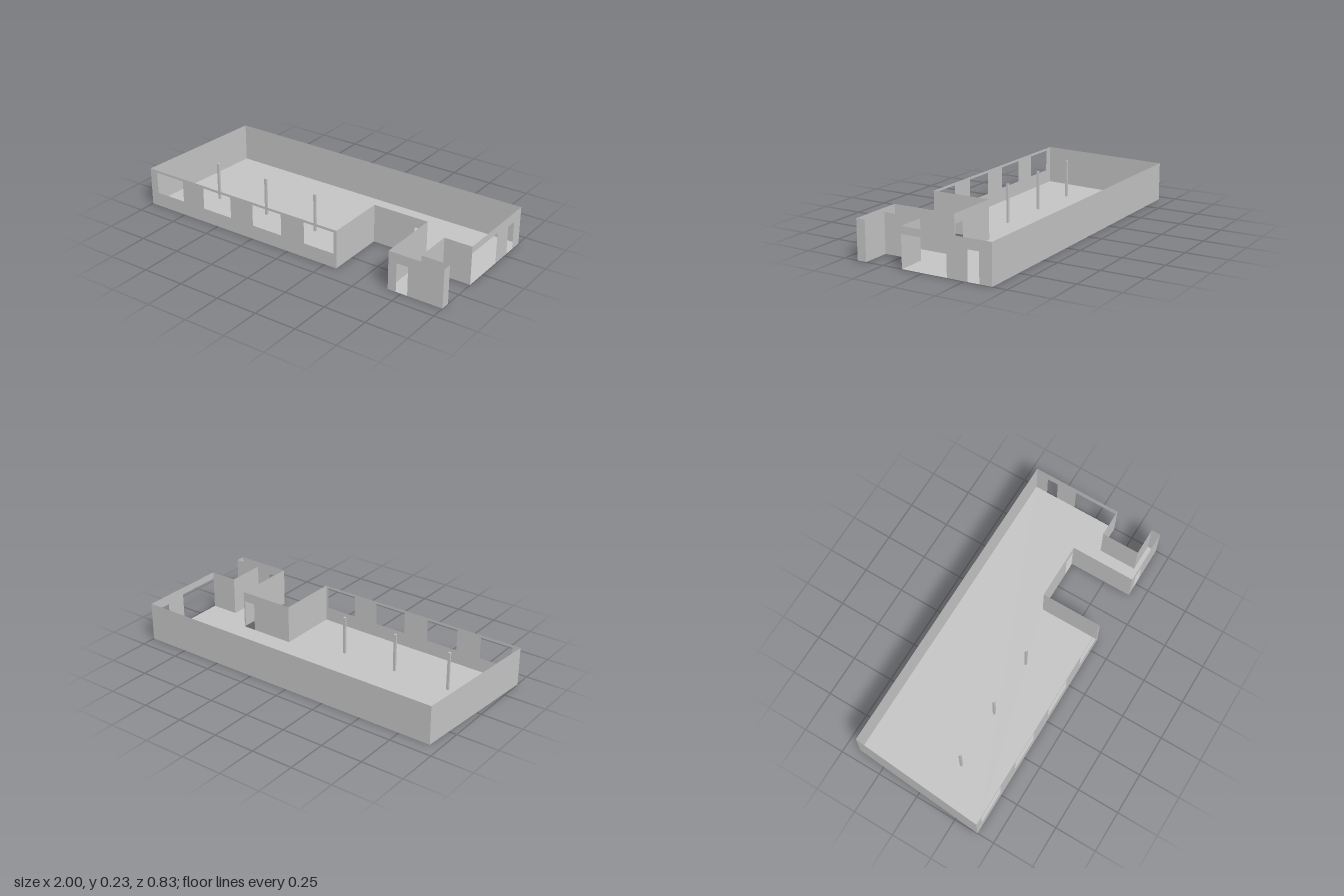
import * as THREE from 'three';
import { mergeGeometries } from 'three/addons/utils/BufferGeometryUtils.js';

const HEIGHT = 0.23;

// Upright panel in the XY plane, from (s0, y0) to (s1, y1)
function panel(s0, s1, y0, y1) {
  return new THREE.PlaneGeometry(s1 - s0, y1 - y0).translate((s0 + s1) / 2, (y0 + y1) / 2, 0);
}

// Thin wall between two plan points; openings are [start, end, bottom, top] along its length
function wallGeometry([x0, z0], [x1, z1], openings = []) {
  const length = Math.hypot(x1 - x0, z1 - z0);
  const parts = [];
  let s = 0;
  for (const [a, b, bottom, top] of openings) {
    if (a > s) parts.push(panel(s, a, 0, HEIGHT));
    if (bottom > 0) parts.push(panel(a, b, 0, bottom));
    parts.push(panel(a, b, top, HEIGHT));
    s = b;
  }
  if (s < length) parts.push(panel(s, length, 0, HEIGHT));
  return mergeGeometries(parts)
    .rotateY(-Math.atan2(z1 - z0, x1 - x0))
    .translate(x0, 0, z0);
}

export function createModel() {
  const model = new THREE.Group();
  model.name = 'openBuilding';
  const grey = new THREE.MeshStandardMaterial({ color: 0xc4c4c4, side: THREE.DoubleSide });
  grey.name = 'plain grey';

  const add = (name, geometry) => {
    const mesh = new THREE.Mesh(geometry, grey);
    mesh.name = name;
    model.add(mesh);
    return mesh;
  };

  // Windows of the long front wall, as distances from its left-hand end
  const windows = [0.05, 0.402, 0.758, 1.112].map(s => [s, s + 0.198, 0.085, 0.215]);

  // Plan corners [x, z]; each entry is the wall running on to the next corner
  const plan = [
    { name: 'frontWall', at: [-1, 0.396], openings: windows },
    { name: 'courtSideWall', at: [0.327, 0.396] },
    { name: 'courtBackWall', at: [0.327, 0.028], openings: [[0.262, 0.332, 0, 0.172]] },
    { name: 'porchInnerWall', at: [0.668, 0.028] },
    { name: 'porchFrontWall', at: [0.668, 0.415], openings: [[0.05, 0.12, 0, 0.172]] },
    { name: 'porchEndWall', at: [1, 0.415] },
    { name: 'porchReturnWall', at: [1, 0.36] },
    { name: 'nicheWall', at: [0.832, 0.36] },
    { name: 'nicheSideWall', at: [0.832, 0.13] },
    { name: 'entranceWall', at: [1, 0.13], openings: [[0, 0.277, 0, 0.188], [0.402, 0.47, 0, 0.17]] },
    { name: 'backWall', at: [1, -0.415] },
    { name: 'slantedEndWall', at: [-0.94, -0.415] },
  ];
  plan.forEach(({ name, at, openings }, i) =>
    add(name, wallGeometry(at, plan[(i + 1) % plan.length].at, openings)));

  // Floor filling the plan outline
  const outline = new THREE.Shape(plan.map(({ at: [x, z] }) => new THREE.Vector2(x, -z)));
  add('floor', new THREE.ShapeGeometry(outline).rotateX(-Math.PI / 2));

  // Row of slim posts
  for (const x of [-0.718, -0.364, -0.015]) {
    add('post', new THREE.BoxGeometry(0.015, 0.232, 0.012)).position.set(x, 0.116, 0.117);
  }
  return model;
}
